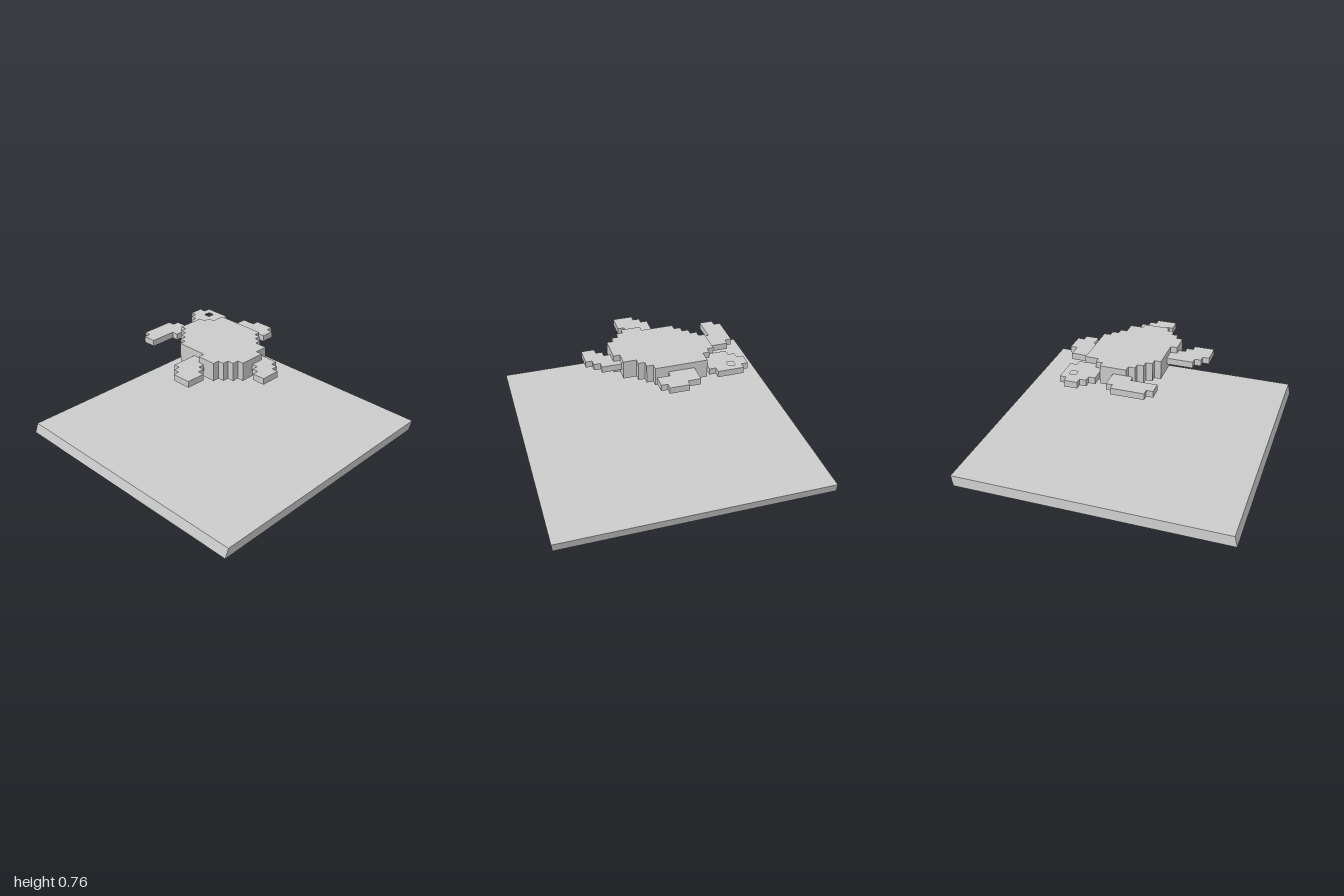
import * as THREE from 'three';

const CELL = 0.0466, X0 = -0.558, Z0 = -0.452;
const material = new THREE.MeshStandardMaterial({ color: 0xcccccc, flatShading: true });

// grid corners (column, row) to shape points; rows run towards +z
const toPoints = (corners) =>
  corners.map(([i, j]) => new THREE.Vector2(X0 + i * CELL, -(Z0 + j * CELL)));

// flat stepped slab between two heights
function slab(name, corners, y0, y1, hole) {
  const shape = new THREE.Shape(toPoints(corners));
  if (hole) shape.holes.push(new THREE.Path(toPoints(hole)));
  const geo = new THREE.ExtrudeGeometry(shape, { depth: y1 - y0, bevelEnabled: false });
  geo.rotateX(-Math.PI / 2).translate(0, y0, 0);
  const mesh = new THREE.Mesh(geo, material);
  mesh.name = name;
  return mesh;
}

// slightly leaning ground plate
function plate() {
  const h = 0.075;
  const geo = new THREE.BoxGeometry(1.98, h, 1.98);
  const p = geo.attributes.position;
  for (let k = 0; k < p.count; k++) {
    const s = Math.sign(p.getY(k));
    p.setX(k, p.getX(k) + 0.004 * s);
    p.setZ(k, p.getZ(k) - 0.01 * s);
  }
  geo.translate(0, h / 2, 0);
  geo.computeVertexNormals();
  const mesh = new THREE.Mesh(geo, material);
  mesh.name = 'basePlate';
  return mesh;
}

export function createModel() {
  const model = new THREE.Group();
  model.name = 'turtleOverPlate';
  model.add(plate());

  const turtle = new THREE.Group();
  turtle.name = 'turtle';
  model.add(turtle);

  // thick shell
  turtle.add(slab('shell', [
    [6, 4], [14, 4], [14, 5], [15, 5], [15, 6], [16, 6], [16, 7], [18, 7], [18, 9], [19, 9],
    [19, 13], [18, 13], [18, 14], [17, 14], [17, 15], [16, 15], [16, 16], [13, 16], [13, 15],
    [8, 15], [8, 14], [7, 14], [7, 13], [6, 13], [6, 12], [5, 12], [5, 11], [4, 11],
    [4, 7], [5, 7], [5, 6], [6, 6],
  ], 0.627, 0.762));

  // thin head with an eye opening, and four flippers
  const limb = (name, corners, hole) => turtle.add(slab(name, corners, 0.672, 0.718, hole));
  limb('head', [
    [1, 2], [5, 2], [5, 3], [6, 3], [6, 6], [5, 6], [5, 7], [2, 7], [2, 6], [1, 6],
    [1, 5], [0, 5], [0, 3], [1, 3],
  ], [[2, 3], [3, 3], [3, 4], [2, 4]]);
  limb('backFlipper', [
    [10, 0], [13, 0], [13, 1], [14, 1], [14, 3], [12, 3], [12, 4], [8, 4], [8, 1], [10, 1],
  ]);
  limb('rightFlipper', [
    [1, 9], [4, 9], [4, 12], [3, 12], [3, 16], [1, 16], [1, 15], [0, 15], [0, 10], [1, 10],
  ]);
  limb('leftFlipper', [
    [18, 8], [21, 8], [21, 9], [22, 9], [22, 10], [23, 10], [23, 13], [21, 13], [21, 12],
    [20, 12], [20, 11], [19, 11], [19, 9], [18, 9],
  ]);
  limb('frontFlipper', [
    [11, 15], [13, 15], [13, 16], [14, 16], [14, 17], [15, 17], [15, 18], [16, 18], [16, 21],
    [13, 21], [13, 20], [12, 20], [12, 19], [11, 19],
  ]);
  return model;
}
